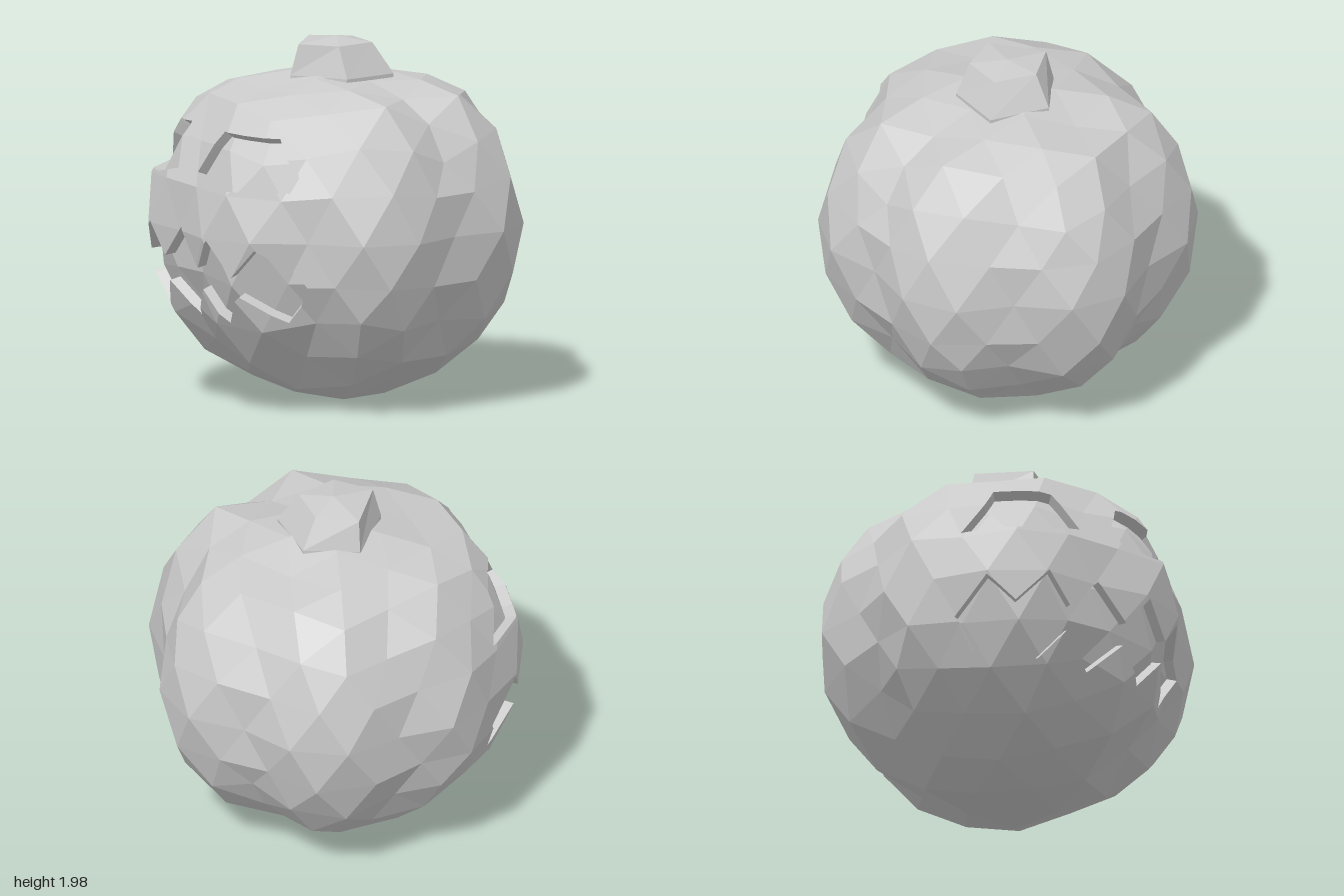
import * as THREE from 'three';

const CENTER_Y = 0.98;
const RECESS = 0.94; // carved floors sit at this fraction of the radius
const material = new THREE.MeshStandardMaterial({ color: 0xcccccc, flatShading: true, side: THREE.DoubleSide });

// Grooves between the lobes: azimuth (degrees, from +x towards +z) and depth
const GROOVES = [[-130, 0.06], [-94, 0.12], [-38, 0.12], [17, 0.12], [72, 0.12], [128, 0.12], [178, 0.09]];

// Carved face, looking along x: outlines in (z, y)
const EYE = [[-0.5, 1.53], [-0.2, 1.54], [-0.09, 1.31], [-0.36, 1.25], [-0.69, 1.25]];
// Mouth columns: z, lower lip y, upper lip y
const MOUTH = [
  [-0.72, 0.75, 0.75], [-0.62, 0.56, 0.96], [-0.48, 0.69, 0.81], [-0.32, 0.51, 0.99],
  [-0.18, 0.68, 0.82], [0, 0.51, 1.0], [0.18, 0.68, 0.8], [0.32, 0.51, 0.97],
  [0.46, 0.67, 0.78], [0.58, 0.53, 0.94], [0.72, 0.74, 0.74],
];

// Push a unit-sphere vertex into the lobed shape
function lobed(v) {
  const azimuth = THREE.MathUtils.radToDeg(Math.atan2(v.z, v.x));
  const flat = Math.hypot(v.x, v.z);
  let groove = 0;
  for (const [angle, depth] of GROOVES) {
    const d = Math.abs(((azimuth - angle + 540) % 360) - 180);
    groove = Math.max(groove, depth * Math.exp(-((d / 13) ** 2)));
  }
  v.multiplyScalar(1.01 - groove * flat);
  v.y = Math.max(v.y * 0.98, -0.98) + CENTER_Y;
  // crown sloping away from the stem, lower in the grooves
  const crown = 1.83 - (0.17 + groove) * Math.hypot(v.x, v.z);
  v.y = Math.max(0, Math.min(v.y, crown));
  return v;
}

// Convex cutters: edge planes in (z, y); only edges flagged "wall" get a side wall
function makeCutter(points, walls) {
  const n = points.length;
  const cz = points.reduce((s, p) => s + p[0], 0) / n;
  const cy = points.reduce((s, p) => s + p[1], 0) / n;
  const planes = [];
  points.forEach(([z, y], i) => {
    const [z2, y2] = points[(i + 1) % n];
    const len = Math.hypot(z2 - z, y2 - y);
    if (len < 1e-6) return;
    let a = (y - y2) / len, b = (z2 - z) / len;
    if (a * (cz - z) + b * (cy - y) < 0) { a = -a; b = -b; }
    planes.push({ dist: (v) => a * (v.z - z) + b * (v.y - y), wall: walls[i] });
  });
  return planes;
}

// Part of a polygon on one side of a plane
function clip(poly, dist, sign) {
  const out = [];
  poly.forEach((p, i) => {
    const q = poly[(i + 1) % poly.length];
    const dp = sign * dist(p), dq = sign * dist(q);
    if (dp >= -1e-9) out.push(p);
    if ((dp > 1e-9 && dq < -1e-9) || (dp < -1e-9 && dq > 1e-9)) out.push(p.clone().lerp(q, dp / (dp - dq)));
  });
  return out.length > 2 ? out : null;
}

function sink(v) {
  return new THREE.Vector3(v.x * RECESS, (v.y - CENTER_Y) * RECESS + CENTER_Y, v.z * RECESS);
}

function toGeometry(polygons) {
  const pts = [];
  for (const p of polygons) for (let i = 1; i < p.length - 1; i++) pts.push(p[0], p[i], p[i + 1]);
  const geometry = new THREE.BufferGeometry().setFromPoints(pts);
  geometry.computeVertexNormals();
  return geometry;
}

// Cut the outlines out of the skin; the cut pieces become sunken floors with walls
function carve(skin, cutters) {
  const recess = [];
  for (const planes of cutters) {
    const kept = [];
    for (const poly of skin) {
      if (poly.some((v) => v.x > -0.1)) { kept.push(poly); continue; }
      let inside = poly;
      const outside = [];
      for (const { dist } of planes) {
        const cut = clip(inside, dist, -1);
        if (cut) outside.push(cut);
        inside = clip(inside, dist, 1);
        if (!inside) break;
      }
      if (!inside) { kept.push(poly); continue; }
      kept.push(...outside);
      recess.push(inside.map(sink));
      inside.forEach((a, i) => {
        const b = inside[(i + 1) % inside.length];
        const onWall = planes.some((p) => p.wall && Math.abs(p.dist(a)) < 1e-5 && Math.abs(p.dist(b)) < 1e-5);
        if (onWall) recess.push([a, b, sink(b), sink(a)]);
      });
    }
    skin = kept;
  }
  return { skin, recess };
}

// Stem: irregular rings from the crown up to a shallow peak
function makeStem() {
  const base = [[-0.3, -0.02], [-0.06, -0.3], [0.22, -0.17], [0.23, 0.17], [-0.09, 0.25]];
  const top = [[-0.26, 0], [-0.07, -0.26], [0.13, -0.13], [0.13, 0.11], [-0.1, 0.17]];
  const ring = (pts, y) => pts.map(([x, z]) => new THREE.Vector3(x, y, z));
  const rings = [ring(base, 1.7), ring(base, 1.78), ring(top, 1.95)];
  const peak = new THREE.Vector3(-0.02, 1.98, -0.02);
  const polygons = [];
  for (let i = 0; i < 5; i++) {
    const j = (i + 1) % 5;
    for (let k = 0; k < 2; k++) polygons.push([rings[k][j], rings[k][i], rings[k + 1][i], rings[k + 1][j]]);
    polygons.push([rings[2][j], rings[2][i], peak]);
  }
  return toGeometry(polygons);
}

export function createModel() {
  const group = new THREE.Group();
  const add = (name, geometry) => {
    const mesh = new THREE.Mesh(geometry, material);
    mesh.name = name;
    group.add(mesh);
  };

  // Lobed faceted body with a vertex at the top and bottom
  const ball = new THREE.IcosahedronGeometry(1, 3);
  ball.rotateZ(-Math.atan(2 / (1 + Math.sqrt(5))));
  const pos = ball.attributes.position;
  const corner = (i) => lobed(new THREE.Vector3().fromBufferAttribute(pos, i));
  const skin = [];
  for (let i = 0; i < pos.count; i += 3) skin.push([corner(i), corner(i + 1), corner(i + 2)]);

  // Centre the lobes, which reach 1 unit out on every side
  const box = new THREE.Box3().setFromPoints(skin.flat());
  const size = box.getSize(new THREE.Vector3());
  const mid = box.getCenter(new THREE.Vector3());
  for (const v of skin.flat()) {
    v.x = ((v.x - mid.x) * 2) / size.x;
    v.z = ((v.z - mid.z) * 2) / size.z;
  }

  // Carved eyes and toothed mouth
  const eyes = [1, -1].map((s) => makeCutter(EYE.map(([z, y]) => [s * z, y]), EYE.map(() => true)));
  const mouth = MOUTH.slice(1).map(([z, low, high], i) => {
    const [z0, low0, high0] = MOUTH[i];
    return makeCutter([[z0, low0], [z, low], [z, high], [z0, high0]], [true, false, true, false]);
  });
  const eyeCut = carve(skin, eyes);
  const mouthCut = carve(eyeCut.skin, mouth);

  add('body', toGeometry(mouthCut.skin));
  add('eyes', toGeometry(eyeCut.recess));
  add('mouth', toGeometry(mouthCut.recess));
  add('stem', makeStem());
  return group;
}
